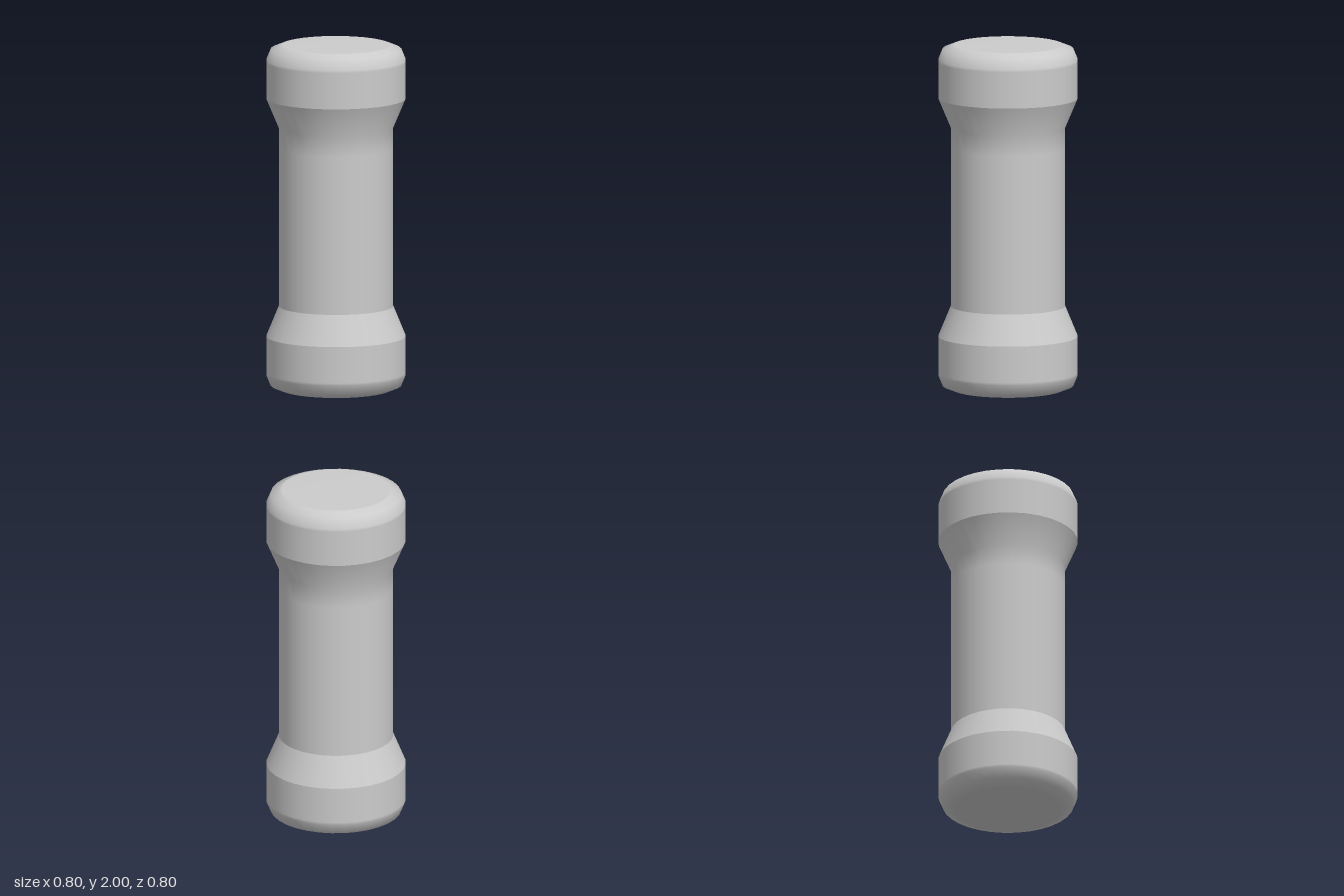
import * as THREE from 'three';

const SIDES = 32;

// Revolves a bottom-to-top list of [radius, height]; smooth inside, sharp where sections meet
function turned(name, profile) {
  const points = profile.map(([r, y]) => new THREE.Vector2(r, y));
  const mesh = new THREE.Mesh(
    new THREE.LatheGeometry(points, SIDES),
    new THREE.MeshStandardMaterial({ color: 0xcccccc })
  );
  mesh.name = name;
  return mesh;
}

// Rounded end: flat face, soft bevel, straight band
const endProfile = [[0, 0], [0.31, 0], [0.32, 0.003], [0.375, 0.025], [0.4, 0.085], [0.4, 0.1], [0.4, 0.31]];

export function createModel() {
  const group = new THREE.Group();
  group.name = 'spool';

  group.add(turned('bottomEnd', endProfile));
  group.add(turned('topEnd', endProfile.map(([r, y]) => [r, 2 - y]).reverse()));

  // Lower taper has a sharp edge against the shaft
  group.add(turned('lowerTaper', [[0.4, 0.31], [0.328, 0.485]]));

  // Shaft blends softly into the upper taper
  group.add(turned('shaftAndUpperTaper', [[0.328, 0.485], [0.328, 1.4], [0.328, 1.52], [0.4, 1.69]]));

  return group;
}
